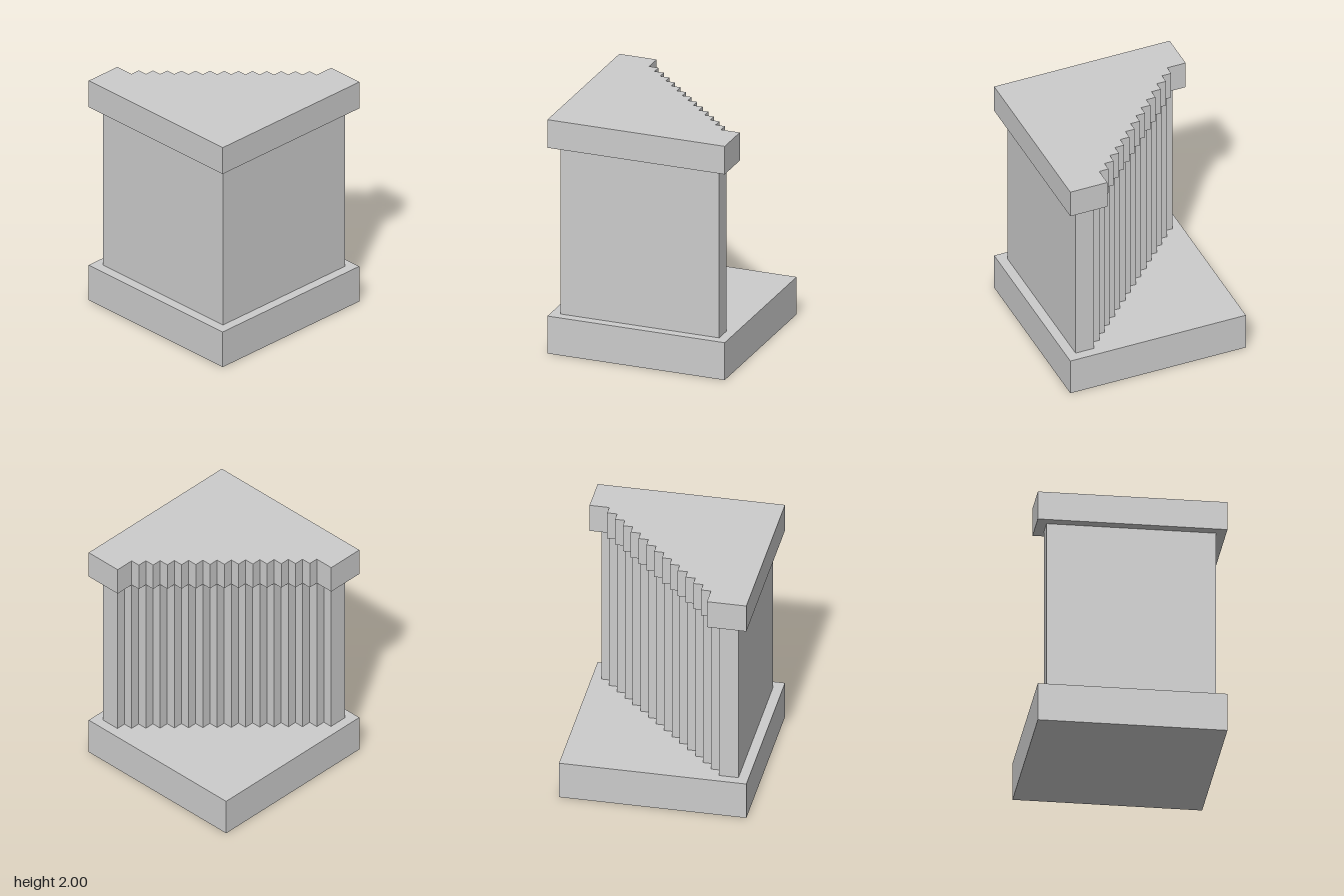
import * as THREE from 'three';

const STEP = 0.08;

// Square plan (half-size h) whose back-left corner is cut away by a staircase
// starting at (x0, z0); extruded upward from y0 to y1.
function steppedSlab(name, h, x0, z0, steps, y0, y1, material) {
  const plan = [[-h, -h], [x0, -h]];
  for (let k = 0; k < steps; k++) {
    const x = x0 + k * STEP, z = z0 + k * STEP;
    plan.push([x, z], [k < steps - 1 ? x + STEP : h, z]);
  }
  plan.push([h, h], [-h, h]);
  const shape = new THREE.Shape(plan.map(([x, z]) => new THREE.Vector2(x, -z)));
  const geometry = new THREE.ExtrudeGeometry(shape, { depth: y1 - y0, bevelEnabled: false });
  geometry.rotateX(-Math.PI / 2).translate(0, y0, 0);
  const mesh = new THREE.Mesh(geometry, material);
  mesh.name = name;
  return mesh;
}

export function createModel() {
  const group = new THREE.Group();
  group.name = 'steppedPillar';
  const material = new THREE.MeshStandardMaterial({ color: 0xcccccc, flatShading: true });

  // Full square plinth
  const base = new THREE.Mesh(new THREE.BoxGeometry(1.52, 0.32, 1.52), material);
  base.name = 'base';
  base.position.y = 0.16;

  // Shaft and overhanging cap, both stepped along the diagonal
  const shaft = steppedSlab('shaft', 0.68, -0.52, -0.6, 15, 0.32, 1.76, material);
  const cap = steppedSlab('cap', 0.76, -0.44, -0.6, 14, 1.76, 2, material);

  group.add(base, shaft, cap);
  return group;
}
